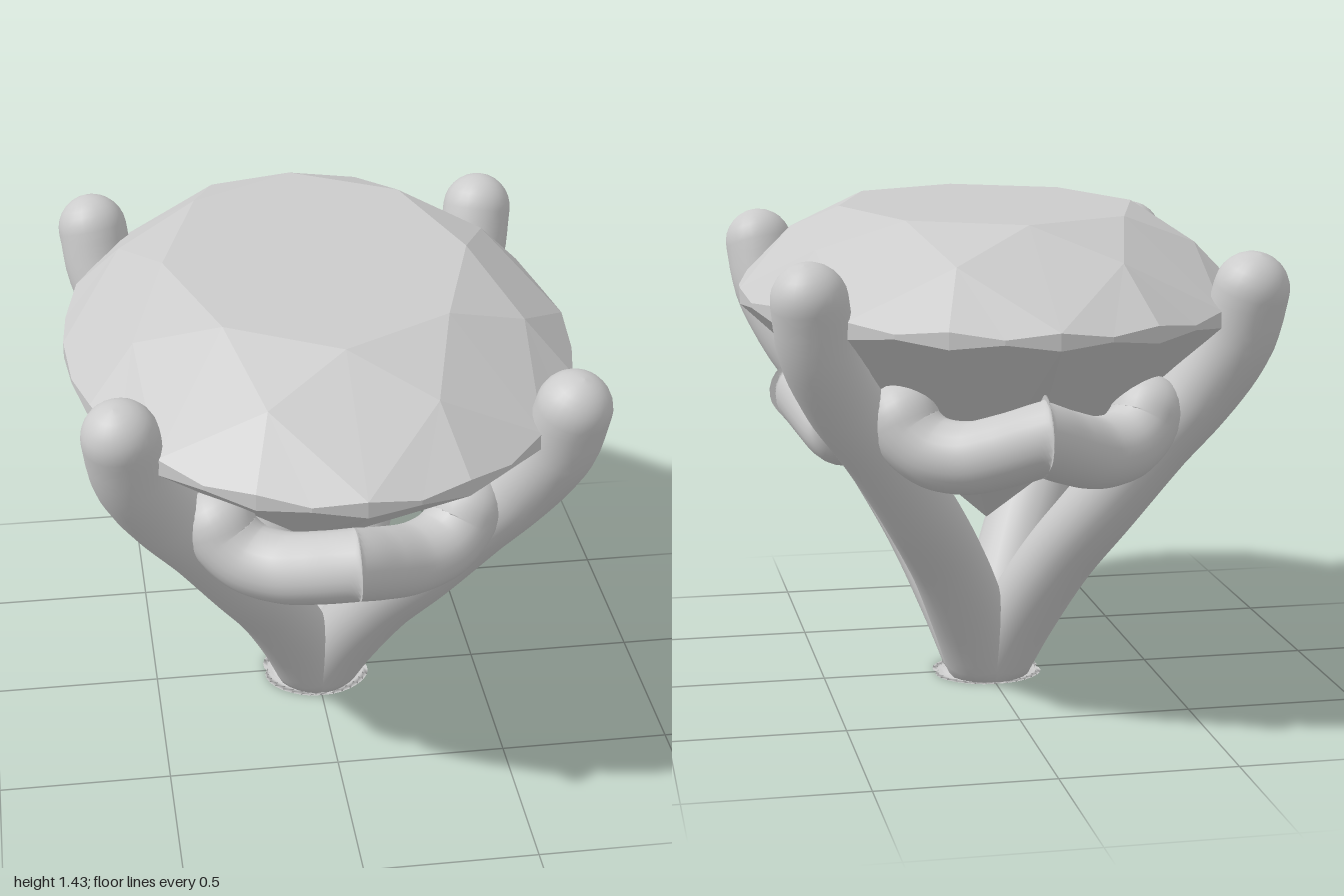
import * as THREE from 'three';

const metal = new THREE.MeshStandardMaterial({ color: 0xcccccc });
const stone = new THREE.MeshStandardMaterial({ color: 0xcccccc, flatShading: true });

// Oval bar swept along points, with a rounded far end; trim(v) may cut vertices at a plane
function sweep(points, radiusAt, trim, rings = 48, sides = 24) {
  const curve = new THREE.CatmullRomCurve3(points.map(p => new THREE.Vector3(...p)));
  const up = new THREE.Vector3(0, 1, 0);
  const pos = [], index = [];
  const capRings = 7;
  const total = rings + capRings;
  for (let i = 0; i <= total; i++) {
    const u = Math.min(i / rings, 1);
    const centre = curve.getPointAt(u), along = curve.getTangentAt(u);
    const side = new THREE.Vector3().crossVectors(along, up).normalize();
    const over = new THREE.Vector3().crossVectors(side, along);
    const [a, b] = radiusAt(u);
    const bend = Math.max(0, i - rings) / capRings * Math.PI / 2;
    centre.addScaledVector(along, Math.sin(bend) * Math.min(a, b));
    const shrink = Math.max(Math.cos(bend), 0.001);
    for (let j = 0; j < sides; j++) {
      const t = j / sides * Math.PI * 2;
      const v = centre.clone()
        .addScaledVector(side, Math.cos(t) * a * shrink)
        .addScaledVector(over, Math.sin(t) * b * shrink);
      trim(v);
      pos.push(v.x, v.y, v.z);
      if (i < total) {
        const p = i * sides + j, q = i * sides + (j + 1) % sides;
        index.push(p, p + sides, q, q, p + sides, q + sides);
      }
    }
  }
  // flat start
  for (let j = 1; j < sides - 1; j++) index.push(0, j, j + 1);
  const geo = new THREE.BufferGeometry();
  geo.setAttribute('position', new THREE.Float32BufferAttribute(pos, 3));
  geo.setIndex(index);
  geo.computeVertexNormals();
  return geo;
}

// Oval brilliant: table, star, kite, girdle and pavilion facets
function gemGeometry() {
  const tris = [];
  const at = (step, r, y) => {
    const t = step / 32 * Math.PI * 2;
    return [Math.sin(t) * r * 0.73, y, Math.cos(t) * r];
  };
  const tri = (...p) => tris.push(...p.flat());
  const quad = (a, b, c, d) => { tri(a, b, c); tri(a, c, d); };
  const table = k => at(4 * k, 0.6, 1.43);
  const star = k => at(4 * k + 2, 0.81, 1.34);
  const lower = k => at(4 * k + 2, 0.25, 0.635);
  const rimTop = n => at(n, 1, n % 2 ? 1.18 : 1.197);
  const rimLow = n => at(n, 1, n % 2 ? 1.167 : 1.15);
  const culet = [0, 0.48, 0];
  for (let k = 0; k < 8; k++) {
    tri([0, 1.43, 0], table(k), table(k + 1));
    tri(table(k), star(k), table(k + 1));
    quad(table(k), star(k - 1), rimTop(4 * k), star(k));
    quad(culet, lower(k), rimLow(4 * k), lower(k - 1));
    for (let n = 4 * k; n < 4 * k + 4; n++) {
      tri(star(k), rimTop(n), rimTop(n + 1));
      quad(rimTop(n), rimLow(n), rimLow(n + 1), rimTop(n + 1));
      tri(lower(k), rimLow(n + 1), rimLow(n));
    }
  }
  const geo = new THREE.BufferGeometry();
  geo.setAttribute('position', new THREE.Float32BufferAttribute(tris, 3));
  geo.computeVertexNormals();
  return geo;
}

// Prong centre line in one quadrant
const prongPath = [
  [-0.05, -0.12, -0.06], [0.0, 0, 0.02], [0.075, 0.2, 0.125], [0.16, 0.4, 0.245],
  [0.27, 0.6, 0.38], [0.395, 0.8, 0.485], [0.51, 0.96, 0.56], [0.583, 1.11, 0.63], [0.607, 1.25, 0.672],
];
// Half rails: distance from the middle, height, distance out from the axis
const endRail = [
  [-0.08, 0.91, 0.84], [0, 0.878, 0.79], [0.08, 0.842, 0.735], [0.18, 0.81, 0.67],
  [0.27, 0.82, 0.62], [0.325, 0.865, 0.585], [0.345, 0.905, 0.57],
];
const sideRail = [
  [-0.08, 0.9, 0.555], [0, 0.865, 0.525], [0.08, 0.835, 0.5], [0.18, 0.81, 0.475],
  [0.27, 0.818, 0.462], [0.325, 0.855, 0.458], [0.35, 0.885, 0.456],
];

export function createModel() {
  const model = new THREE.Group();
  model.name = 'gemSetting';
  const add = (name, geo, mat = metal) => {
    const mesh = new THREE.Mesh(geo, mat);
    mesh.name = name;
    model.add(mesh);
  };

  add('ovalGem', gemGeometry(), stone);
  add('footPad', new THREE.SphereGeometry(1, 32, 12).scale(0.13, 0.025, 0.13).translate(0, 0.028, 0));

  for (const sx of [1, -1]) {
    for (const sz of [1, -1]) {
      const corner = (sz > 0 ? 'front' : 'back') + (sx > 0 ? 'Left' : 'Right');

      // Prong, cut flat at the foot
      add(corner + 'Prong', sweep(
        prongPath.map(([x, y, z]) => [x * sx, y, z * sz]),
        u => [0.122 - 0.017 * u, 0.105],
        v => { v.y = Math.max(v.y, 0); }));

      // Wavy rail halves, mitred at the middle of each side
      const radius = () => [0.1, 0.1];
      add(corner + 'EndRail', sweep(
        endRail.map(([u, y, d]) => [u * sx, y, d * sz]), radius,
        v => { if (v.x * sx < 0) v.x = 0; }));
      add(corner + 'SideRail', sweep(
        sideRail.map(([u, y, d]) => [d * sx, y, u * sz]), radius,
        v => { if (v.z * sz < 0) v.z = 0; }));
    }
  }
  return model;
}
